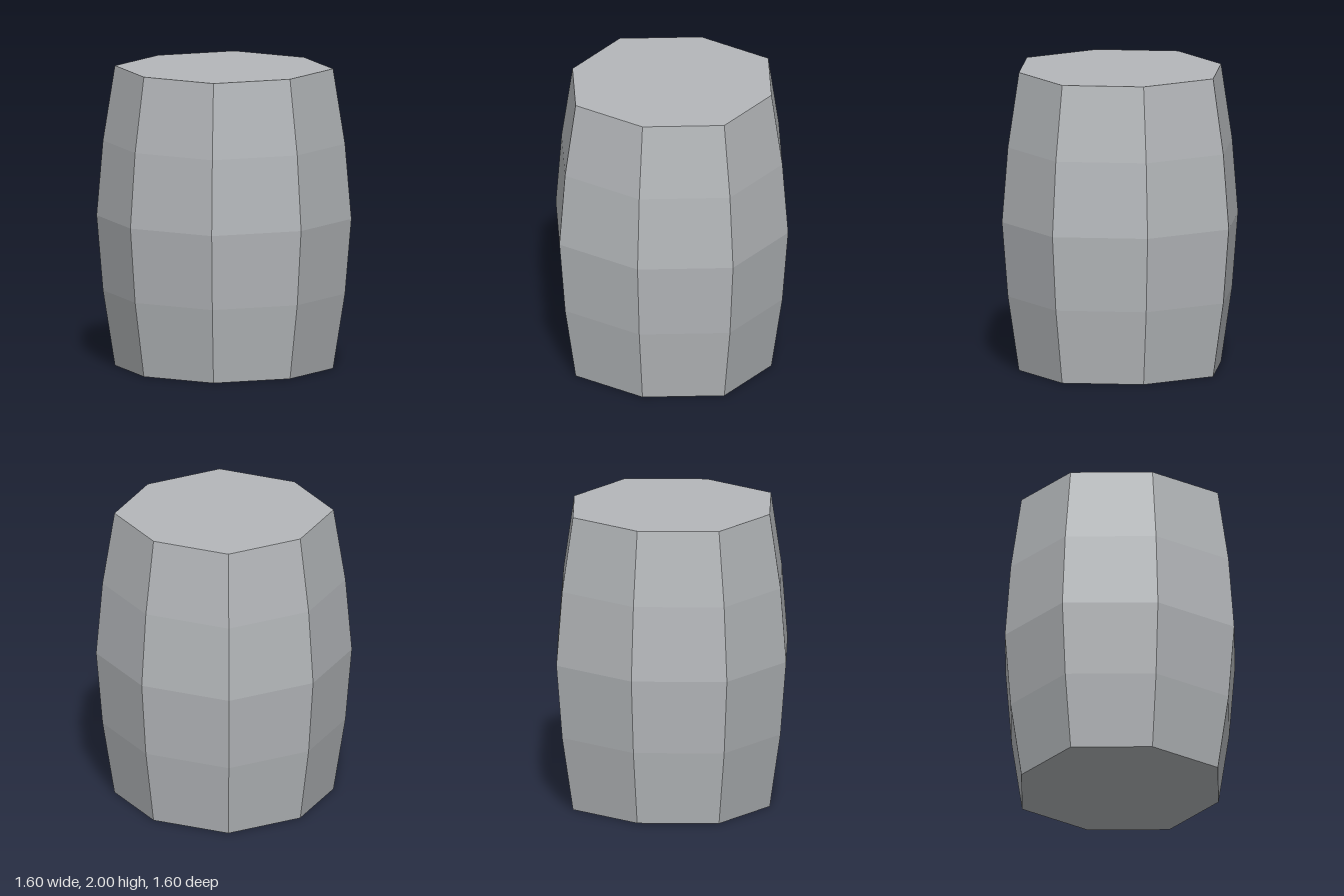
import * as THREE from 'three';

export function createModel() {
  const group = new THREE.Group();
  group.name = 'barrel';

  const grey = new THREE.MeshStandardMaterial({ color: 0xb4b7ba, flatShading: true });
  grey.name = 'plain grey';

  // Eight-sided drum in four bands, bulged at mid height
  const geometry = new THREE.CylinderGeometry(1, 1, 2, 8, 4);
  geometry.translate(0, 1, 0);
  const radii = [0.685, 0.76, 0.8, 0.76, 0.685];
  const pos = geometry.attributes.position;
  for (let i = 0; i < pos.count; i++) {
    const x = pos.getX(i), y = pos.getY(i), z = pos.getZ(i);
    // Corners on the diagonals stand slightly farther out than those on the axes
    const diagonal = Math.abs(x * z) > 0.1 ? 1.056 : 1;
    const r = radii[Math.round(y * 2)] * diagonal;
    pos.setXYZ(i, x * r, y, z * r);
  }
  geometry.computeVertexNormals();

  const body = new THREE.Mesh(geometry, grey);
  body.name = 'barrelBody';
  group.add(body);
  return group;
}
